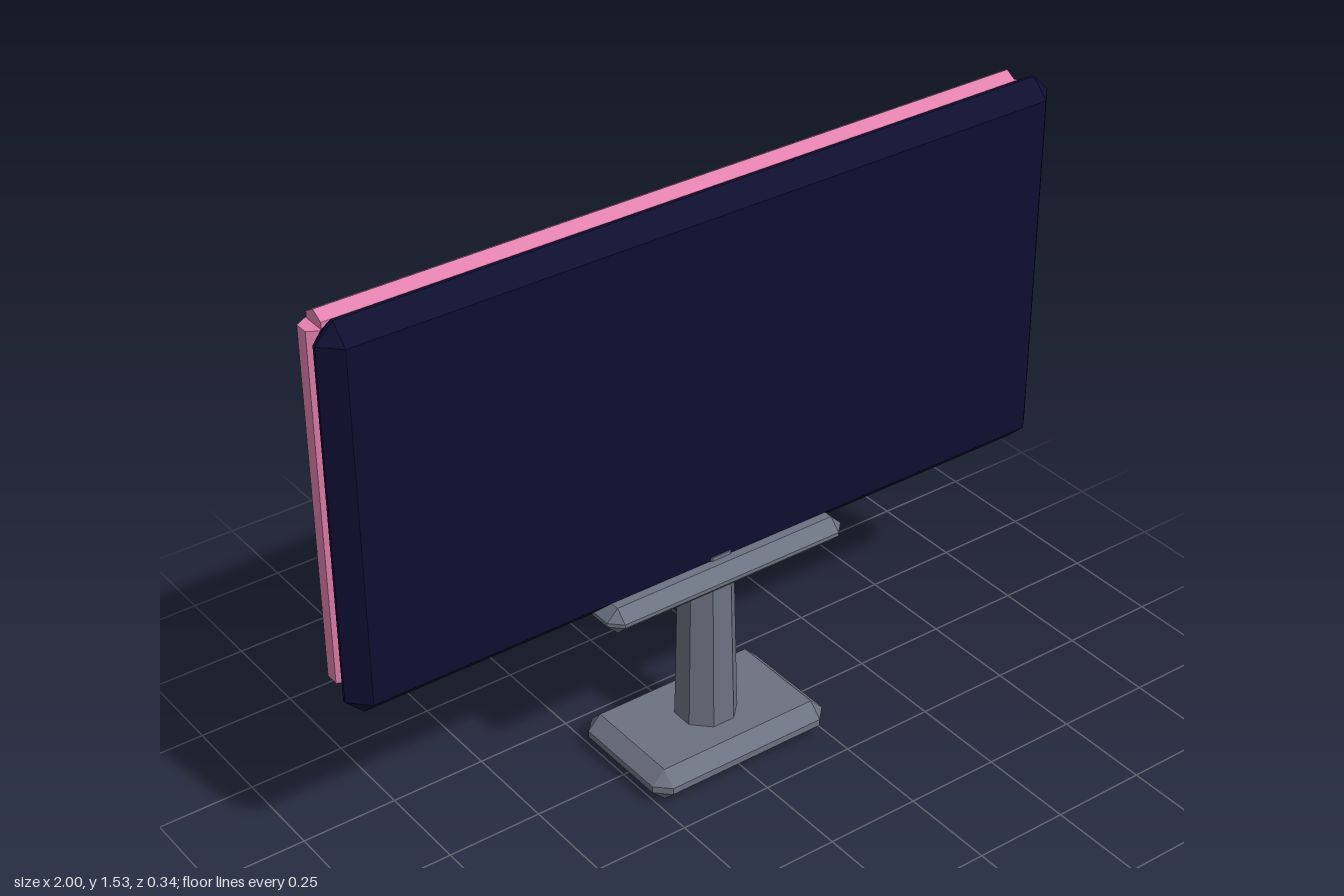
import * as THREE from 'three';
import { ConvexGeometry } from 'three/addons/geometries/ConvexGeometry.js';

function material(name, color) {
  return new THREE.MeshStandardMaterial({ name, color, flatShading: true });
}

const navy = material('navy panel', 0x0e0e30);
const grey = material('slate grey', 0x6b7280);
const pink = material('neon pink', 0xe080ad);
const cyan = material('neon cyan', 0x38bdde);
const gold = material('chopstick gold', 0xd9a93f);

const TUBE_Z = -0.075; // depth of the neon tubes behind the panel

export function createModel() {
  const model = new THREE.Group();
  model.name = 'signOnStand';

  function add(name, geometry, mat, x = 0, y = 0, z = 0) {
    const mesh = new THREE.Mesh(geometry, mat);
    mesh.name = name;
    mesh.position.set(x, y, z);
    model.add(mesh);
    return mesh;
  }

  // Box with every edge cut by c
  function chamferBox(w, h, d, c) {
    const [x, y, z] = [w / 2, h / 2, d / 2];
    const points = [];
    for (const i of [-1, 1]) for (const j of [-1, 1]) for (const k of [-1, 1]) {
      points.push(
        new THREE.Vector3(i * x, j * (y - c), k * (z - c)),
        new THREE.Vector3(i * (x - c), j * y, k * (z - c)),
        new THREE.Vector3(i * (x - c), j * (y - c), k * z));
    }
    return new ConvexGeometry(points);
  }

  // Straight six-sided bar between two points in the sign plane
  function bar(name, mat, x0, y0, x1, y1, r, z = TUBE_Z) {
    const dir = new THREE.Vector3(x1 - x0, y1 - y0, 0);
    const sideways = Math.abs(dir.x) > Math.abs(dir.y);
    const geometry = new THREE.CylinderGeometry(r, r, dir.length(), 6, 1, false, sideways ? Math.PI / 2 : 0);
    const mesh = add(name, geometry, mat, (x0 + x1) / 2, (y0 + y1) / 2, z);
    mesh.quaternion.setFromUnitVectors(new THREE.Vector3(0, 1, 0), dir.normalize());
  }

  // Wavy six-sided tube with closed ends
  function wavyTube(name, mat, points, r) {
    const curve = new THREE.CatmullRomCurve3(points.map(([x, y]) => new THREE.Vector3(x, y, TUBE_Z)));
    add(name, new THREE.TubeGeometry(curve, 6, r, 6), mat);
    for (const t of [0, 1]) {
      const p = curve.getPointAt(t);
      const out = curve.getTangentAt(t).multiplyScalar(t ? 1 : -1);
      const cap = add(name + 'Cap', new THREE.CircleGeometry(r, 6), mat, p.x, p.y, p.z);
      cap.quaternion.setFromUnitVectors(new THREE.Vector3(0, 0, 1), out);
    }
  }

  // Stand
  add('base', chamferBox(0.52, 0.09, 0.34, 0.036), grey, 0, 0.045, 0);
  add('post', new THREE.CylinderGeometry(0.068, 0.081, 0.545, 8, 1, false, Math.PI / 8), grey, 0, 0.3125, 0);
  add('tray', chamferBox(0.69, 0.07, 0.155, 0.03), grey, 0, 0.54, 0.035);

  // Panel
  add('panel', chamferBox(2, 1, 0.1, 0.046), navy, 0, 1.03, 0.01);

  // Neon frame
  for (const y of [0.577, 1.48]) bar('frameRail', pink, -0.95, y, 0.95, y, 0.035);
  for (const x of [-0.95, 0.95]) bar('frameSide', pink, x, 0.577, x, 1.48, 0.035);

  // Bowl: rim, half-round body and foot
  bar('bowlRim', cyan, 0.63, 1.015, -0.32, 1.015, 0.032, -0.08);
  const bowl = add('bowlBody', new THREE.TorusGeometry(0.42, 0.03, 6, 16, Math.PI), cyan, 0.155, 1.015, TUBE_Z);
  bowl.rotation.z = Math.PI;
  bar('bowlFoot', cyan, 0.335, 0.572, 0.015, 0.572, 0.032, -0.08);

  // Steam
  for (const x of [0.56, 0.39]) {
    wavyTube('steam', cyan, [[x - 0.035, 1.415], [x + 0.07, 1.315], [x - 0.06, 1.205], [x + 0.01, 1.1]], 0.03);
  }

  // Chopsticks
  for (const y of [1.335, 1.235]) bar('chopstick', gold, 0.065, y, -0.535, y + 0.105, 0.032);

  // Noodles
  for (const x of [0, -0.09]) {
    wavyTube('noodle', pink, [[x + 0.02, 1.315], [x + 0.065, 1.22], [x - 0.065, 1.135], [x, 1.04]], 0.025);
  }

  // Dots
  for (const y of [0.76, 0.93, 1.1]) {
    add('dot', new THREE.IcosahedronGeometry(0.062, 1), pink, -0.74, y, TUBE_Z);
  }

  return model;
}
